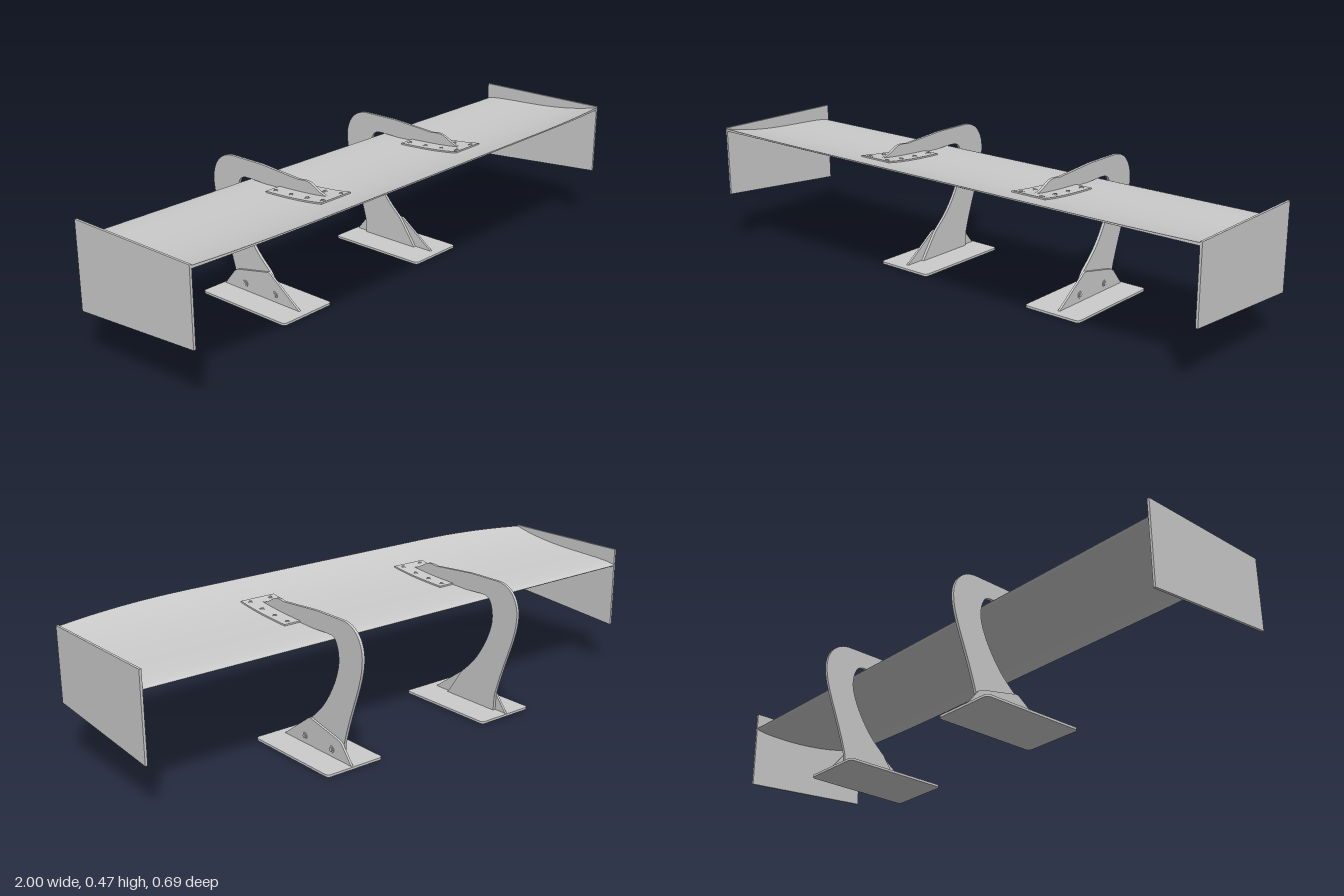
import * as THREE from 'three';
import { toCreasedNormals } from 'three/addons/utils/BufferGeometryUtils.js';

const mat = new THREE.MeshStandardMaterial({ color: 0xcccccc, side: THREE.DoubleSide });
const Z0 = -0.195, CHORD = 0.54;

function mesh(name, geo, parent) {
  const m = new THREE.Mesh(geo, mat);
  m.name = name;
  parent.add(m);
  return m;
}

// Aerofoil: camber line rising to the front, with a thin rounded section
const chordPos = (z) => Math.min(1, Math.max(0, (z - Z0) / CHORD));
const camber = (z) => 0.395 + 0.068 * Math.pow(chordPos(z), 3);
function halfThick(z) {
  const u = chordPos(z);
  return 0.14 * (0.2969 * Math.sqrt(u) - 0.126 * u - 0.3516 * u * u + 0.2843 * u ** 3 - 0.1015 * u ** 4) + 0.002 * u;
}
const wingTop = (z) => camber(z) + halfThick(z);
const wingBottom = (z) => camber(z) - halfThick(z);

// Solid between two height curves, lofted through sections along x
function loft(xs, zStart, zEnd, top, bottom, n) {
  const pos = [], idx = [], ring = 2 * (n + 1);
  for (const x of xs) {
    const zAt = (i) => zStart + (zEnd(x) - zStart) * (1 - Math.cos((i / n) * Math.PI)) / 2;
    for (let i = 0; i <= n; i++) pos.push(x, top(zAt(i)), zAt(i));
    for (let i = n; i >= 0; i--) pos.push(x, bottom(zAt(i)), zAt(i));
  }
  const quad = (a, b, c, d) => idx.push(a, b, c, a, c, d);
  for (let s = 0; s < xs.length - 1; s++)
    for (let i = 0; i < ring; i++) {
      const j = (i + 1) % ring, a = s * ring, b = a + ring;
      quad(a + i, a + j, b + j, b + i);
    }
  const last = (xs.length - 1) * ring;
  for (let i = 0; i < n; i++) {
    const p = ring - 1 - i;
    quad(i, p, p - 1, i + 1);
    quad(last + i, last + i + 1, last + p - 1, last + p);
  }
  const g = new THREE.BufferGeometry();
  g.setAttribute('position', new THREE.Float32BufferAttribute(pos, 3));
  g.setIndex(idx);
  return toCreasedNormals(g, 0.6);
}

// Flat sheet drawn in the (z, y) plane, centred on x
function sheet(shape, x, thick) {
  const g = new THREE.ExtrudeGeometry(shape, { depth: thick, bevelEnabled: false, curveSegments: 16 });
  g.translate(0, 0, -thick / 2).rotateY(-Math.PI / 2).translate(x, 0, 0);
  return toCreasedNormals(g, 0.5);
}
const polygon = (pts) => new THREE.Shape(pts.map((p) => new THREE.Vector2(...p)));
const vecs = (pts) => pts.map((p) => new THREE.Vector2(...p));

// Curved neck reaching over the rear edge and down to the foot
function neckShape() {
  const s = new THREE.Shape();
  s.moveTo(0.19, wingTop(0.19));
  s.splineThru(vecs([[0.15, 0.435], [0.105, 0.457], [0.08, 0.462], [0.05, 0.459]]));
  s.lineTo(-0.12, 0.471);
  s.lineTo(-0.25, 0.471);
  s.bezierCurveTo(-0.31, 0.471, -0.345, 0.425, -0.345, 0.37);
  s.bezierCurveTo(-0.345, 0.29, -0.29, 0.2, -0.253, 0.062);
  s.lineTo(-0.25, 0.008);
  s.lineTo(-0.02, 0.008);
  s.lineTo(-0.088, 0.105);
  s.splineThru(vecs([[-0.15, 0.165], [-0.2, 0.24], [-0.228, 0.31], [-0.23, 0.36], [-0.216, 0.398], [-0.195, 0.41]]));
  s.lineTo(-0.17, 0.411);
  for (let z = -0.1; z < 0.19; z += 0.04) s.lineTo(z, wingTop(z));
  return s;
}

// Foot plate with rounded corners
function footGeometry(x) {
  const w = 0.11, a = -0.08, b = 0.305, r = 0.015, s = new THREE.Shape();
  s.moveTo(-w + r, a);
  s.lineTo(w - r, a); s.quadraticCurveTo(w, a, w, a + r);
  s.lineTo(w, b - r); s.quadraticCurveTo(w, b, w - r, b);
  s.lineTo(-w + r, b); s.quadraticCurveTo(-w, b, -w, b - r);
  s.lineTo(-w, a + r); s.quadraticCurveTo(-w, a, -w + r, a);
  const g = new THREE.ExtrudeGeometry(s, { depth: 0.008, bevelEnabled: false, curveSegments: 5 });
  return g.rotateX(-Math.PI / 2).translate(x, 0, 0);
}

// Round bolt head with a raised ring
function bolt(name, r, h, parent) {
  const g = new THREE.Group();
  g.name = name;
  mesh('washer', new THREE.CylinderGeometry(r, r, h * 0.5, 20), g);
  mesh('head', new THREE.CylinderGeometry(r * 0.6, r * 0.65, h, 6), g).position.y = h * 0.4;
  parent.add(g);
  return g;
}

export function createModel() {
  const root = new THREE.Group();
  root.name = 'rearWing';

  // Main blade, its front edge sweeping back near the tips
  const xs = [];
  for (let i = 0; i <= 40; i++) xs.push(0.992 * Math.sin(((i / 40) - 0.5) * Math.PI));
  const frontEdge = (x) => 0.345 - 0.045 * Math.pow(Math.max(0, (Math.abs(x) - 0.5) / 0.5), 2.2);
  mesh('wingBlade', loft(xs, Z0, frontEdge, wingTop, wingBottom, 32), root);

  for (const side of [-1, 1]) {
    // End plate
    const end = polygon([[0.302, 0.205], [0.302, 0.456], [-0.195, 0.456], [-0.195, 0.165]]);
    mesh('endPlate', sheet(end, side * 0.996, 0.008), root);

    const support = new THREE.Group();
    support.name = 'support';
    root.add(support);
    const x = side * 0.33;
    mesh('neck', sheet(neckShape(), x, 0.01), support);
    mesh('foot', footGeometry(x), support);

    // Upright bracket on the outer face, bolted through the neck
    const bracket = new THREE.Shape();
    bracket.moveTo(0.05, 0.008);
    bracket.lineTo(-0.08, 0.102);
    bracket.quadraticCurveTo(-0.087, 0.106, -0.095, 0.104);
    bracket.lineTo(-0.23, 0.076);
    bracket.quadraticCurveTo(-0.246, 0.072, -0.256, 0.06);
    bracket.lineTo(-0.298, 0.008);
    mesh('footBracket', sheet(bracket, x + side * 0.009, 0.008), support);
    for (const z of [-0.06, -0.2]) {
      const b = bolt('footBolt', 0.012, 0.004, support);
      b.position.set(x + side * 0.014, 0.033, z);
      b.rotation.z = -side * Math.PI / 2;
    }

    // Curved mounting plate on the blade with two rows of bolts
    const plate = loft([x - 0.065, x + 0.065], -0.035, () => 0.205, (z) => wingTop(z) + 0.005, (z) => wingTop(z) - 0.002, 14);
    mesh('mountPlate', plate, support);
    for (const dx of [-0.04, 0.04])
      for (const z of [-0.015, 0.053, 0.121, 0.188]) {
        const b = bolt('mountBolt', 0.009, 0.003, support);
        b.position.set(x + dx, wingTop(z) + 0.005, z);
        b.rotation.x = -Math.atan((wingTop(z + 0.01) - wingTop(z - 0.01)) / 0.02);
      }
  }
  return root;
}
